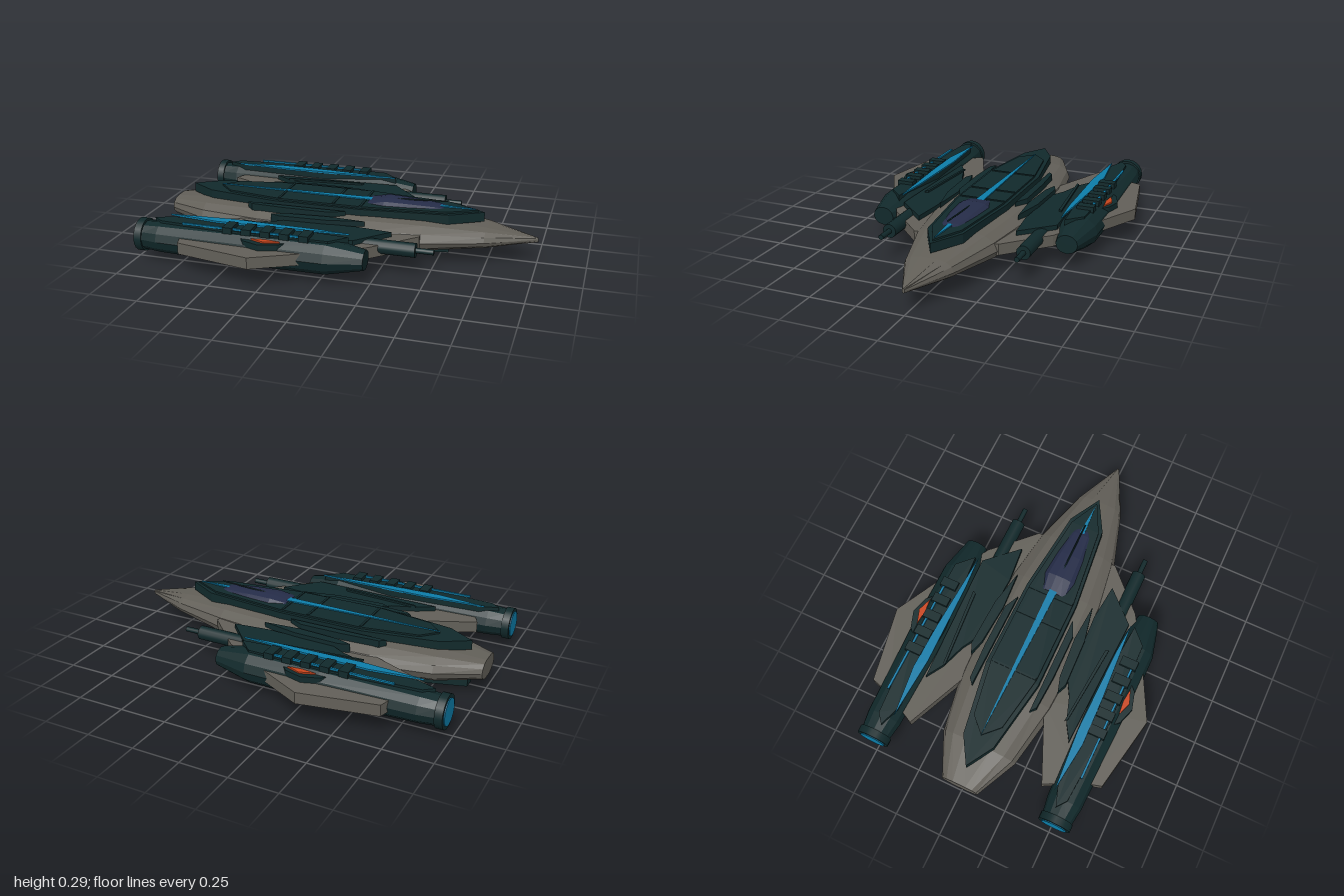
import * as THREE from 'three';

const material = (name, color) => Object.assign(new THREE.MeshStandardMaterial({ color }), { name });

// Unit cross-sections as [z, y], starting at +z and running over the top
const HULL = [[1, 0], [0.92, 0.5], [0.7, 0.84], [0.35, 1], [-0.35, 1], [-0.7, 0.84], [-0.92, 0.5],
  [-1, 0], [-0.93, -0.4], [-0.7, -0.75], [-0.36, -1], [0.36, -1], [0.7, -0.75], [0.93, -0.4]];
const ROUND = Array.from({ length: 12 }, (_, i) => [
  Math.cos(i * Math.PI / 6), Math.sin(i * Math.PI / 6)]);
const DOME = [[1, 0], [0.7, 0.75], [0.22, 1], [-0.22, 1], [-0.7, 0.75], [-1, 0]];

// Faceted body through stations [x, centre y, half width, height up, height down]
function loft(profile, stations) {
  const n = profile.length;
  const ring = ([x, cy, w, up, down]) =>
    profile.map(([z, y]) => [x, cy + y * (y > 0 ? up : down), z * w]);
  const rings = stations.map(ring);
  const pos = [];
  const tri = (...p) => p.forEach(v => pos.push(...v));
  for (let i = 0; i < rings.length - 1; i++) {
    for (let j = 0; j < n; j++) {
      const k = (j + 1) % n;
      const a = rings[i][j], b = rings[i + 1][j], c = rings[i + 1][k], d = rings[i][k];
      tri(a, b, c);
      tri(a, c, d);
    }
  }
  const first = stations[0], last = stations[stations.length - 1];
  for (let j = 0; j < n; j++) {
    const k = (j + 1) % n;
    tri([first[0], first[1], 0], rings[0][j], rings[0][k]);
    tri([last[0], last[1], 0], rings[rings.length - 1][k], rings[rings.length - 1][j]);
  }
  const g = new THREE.BufferGeometry();
  g.setAttribute('position', new THREE.Float32BufferAttribute(pos, 3));
  g.computeVertexNormals();
  return g;
}

// Horizontal plate from an [x, z] outline between two heights
function plate(outline, y0, y1, side = 1) {
  const shape = new THREE.Shape(outline.map(([x, z]) => new THREE.Vector2(x, -z * side)));
  const g = new THREE.ExtrudeGeometry(shape, { depth: y1 - y0, bevelEnabled: false });
  return g.rotateX(-Math.PI / 2).translate(0, y0, 0);
}

// Outline mirrored across the centre line
const both = half => [...half, ...half.slice().reverse().filter(p => p[1] > 0).map(([x, z]) => [x, -z])];

const box = (x0, x1, y0, y1, z0, z1) => new THREE.BoxGeometry(x1 - x0, y1 - y0, Math.abs(z1 - z0))
  .translate((x0 + x1) / 2, (y0 + y1) / 2, (z0 + z1) / 2);

const rod = (x0, x1, y, z, r, sides = 12) => new THREE.CylinderGeometry(r, r, x1 - x0, sides)
  .rotateZ(-Math.PI / 2).translate((x0 + x1) / 2, y, z);

export function createModel() {
  const grey = material('hull grey', 0x625f58);
  const dark = material('dark teal', 0x11292b);
  const blue = material('glow blue', 0x0c7ca8);
  const orange = material('orange', 0xc9451c);
  const glass = material('canopy glass', 0x252c48);
  const model = new THREE.Group();
  const add = (parent, name, geometry, mat) => {
    const mesh = new THREE.Mesh(geometry, mat);
    mesh.name = name;
    parent.add(mesh);
  };

  // Main hull, pointed at the +x end
  add(model, 'hull', loft(HULL, [
    [-1, 0.125, 0.1, 0.05, 0.055], [-0.78, 0.125, 0.205, 0.077, 0.09], [-0.45, 0.125, 0.265, 0.09, 0.105],
    [-0.15, 0.125, 0.28, 0.093, 0.108], [0.15, 0.125, 0.27, 0.093, 0.105], [0.43, 0.125, 0.225, 0.085, 0.085],
    [0.74, 0.125, 0.13, 0.055, 0.05], [1, 0.125, 0.006, 0.012, 0.012]]), grey);

  // Belly keel
  add(model, 'keel', plate(both([[-0.91, 0.03], [-0.72, 0.085], [-0.3, 0.1], [0.1, 0.09], [0.54, 0]]), 0, 0.042), dark);

  // Upper deck with raised top
  add(model, 'deck', plate(both([[-0.91, 0], [-0.77, 0.085], [-0.38, 0.15], [0.1, 0.145], [0.55, 0.095], [0.72, 0]]), 0.195, 0.245), dark);
  add(model, 'deckTop', plate(both([[-0.74, 0], [-0.66, 0.08], [-0.36, 0.13], [0.1, 0.128], [0.53, 0.08], [0.69, 0]]), 0.245, 0.254), dark);
  for (const x of [-0.36, -0.06, 0.09]) add(model, 'deckRib', box(x - 0.006, x + 0.006, 0.25, 0.258, -0.125, 0.125), dark);
  add(model, 'deckStripe', plate(both([[-0.74, 0], [-0.1, 0.016], [0.12, 0.021], [0.5, 0.012], [0.67, 0]]), 0.254, 0.26), blue);

  // Cockpit canopy and its probe
  add(model, 'canopy', loft(DOME, [
    [0.11, 0.25, 0.07, 0.008, 0], [0.2, 0.25, 0.09, 0.027, 0], [0.34, 0.25, 0.078, 0.022, 0],
    [0.48, 0.25, 0.055, 0.012, 0], [0.51, 0.25, 0.04, 0.005, 0]]), glass);
  add(model, 'probe', new THREE.TubeGeometry(
    new THREE.LineCurve3(new THREE.Vector3(0.22, 0.27, 0), new THREE.Vector3(0.53, 0.285, 0)), 1, 0.004, 6), dark);

  for (const s of [1, -1]) {
    const half = new THREE.Group();
    half.name = s > 0 ? 'leftSide' : 'rightSide';
    model.add(half);

    // Slim armour slats beside the deck
    add(half, 'innerSlat', plate([[-0.52, 0.165], [-0.49, 0.19], [-0.3, 0.2], [-0.06, 0.198], [0.02, 0.16]], 0.19, 0.232, s), dark);
    add(half, 'outerSlat', plate([[-0.36, 0.25], [-0.31, 0.272], [-0.05, 0.262], [0.14, 0.222], [-0.06, 0.208], [-0.28, 0.225]], 0.15, 0.212, s), dark);

    // Grey wing running beneath the engine pod
    add(half, 'wing', plate([[0.43, 0.2], [0.43, 0.23], [0.22, 0.44], [-0.07, 0.61], [-0.3, 0.73],
      [-0.7, 0.655], [-0.73, 0.55], [-0.82, 0.375], [-0.42, 0.2]], 0.105, 0.165, s), grey);

    // Dark panel joining wing and pod
    add(half, 'wingPanel', plate([[-0.57, 0.41], [0.14, 0.435], [0.295, 0.27], [0.1, 0.25], [-0.28, 0.27], [-0.35, 0.31], [-0.48, 0.355]], 0.155, 0.19, s), dark);
    add(half, 'wingRail', plate([[-0.48, 0.345], [-0.47, 0.358], [-0.04, 0.398], [-0.05, 0.38]], 0.19, 0.2, s), dark);

    // Engine pod
    const pod = loft(ROUND, [
      [-0.97, 0.13, 0.08, 0.074, 0.074], [-0.93, 0.13, 0.08, 0.074, 0.074], [-0.85, 0.13, 0.092, 0.08, 0.08],
      [-0.35, 0.13, 0.108, 0.09, 0.092], [0.04, 0.13, 0.105, 0.088, 0.09], [0.23, 0.13, 0.058, 0.05, 0.05]]);
    add(half, 'enginePod', pod.translate(0, 0, 0.515 * s), dark);
    add(half, 'engineRing', rod(-0.975, -0.935, 0.13, 0.515 * s, 0.086, 20), dark);
    add(half, 'engineGlow', rod(-0.98, -0.974, 0.13, 0.515 * s, 0.068, 20), blue);

    // Pod spine, glowing strips and ribs
    add(half, 'podSpine', plate([[-0.9, 0.49], [-0.85, 0.53], [-0.4, 0.56], [0.05, 0.55], [0.13, 0.47], [-0.3, 0.435], [-0.8, 0.455]], 0.18, 0.22, s), dark);
    add(half, 'podStripe', plate([[-0.83, 0.45], [-0.56, 0.482], [-0.3, 0.475], [0.13, 0.45], [-0.05, 0.436], [-0.5, 0.428]], 0.222, 0.231, s), blue);
    add(half, 'podLine', box(-0.72, -0.09, 0.221, 0.23, 0.54 * s, 0.552 * s), blue);
    for (let i = 0; i < 5; i++) {
      const x = -0.47 + i * 0.1;
      add(half, 'podRib', box(x - 0.025, x + 0.025, 0.205, 0.238, 0.478 * s, 0.568 * s), dark);
    }

    // Shoulder plate with its marker
    add(half, 'shoulderPlate', plate([[-0.42, 0.55], [-0.37, 0.605], [-0.28, 0.635], [-0.19, 0.61], [-0.13, 0.55]], 0.165, 0.196, s), dark);
    add(half, 'marker', plate([[-0.335, 0.584], [-0.26, 0.61], [-0.185, 0.584], [-0.26, 0.576]], 0.196, 0.204, s), orange);

    // Cannon
    add(half, 'cannon', rod(0.16, 0.445, 0.147, 0.365 * s, 0.037, 14), dark);
    add(half, 'cannonBarrel', rod(0.44, 0.535, 0.147, 0.365 * s, 0.014, 10), dark);
  }
  return model;
}
